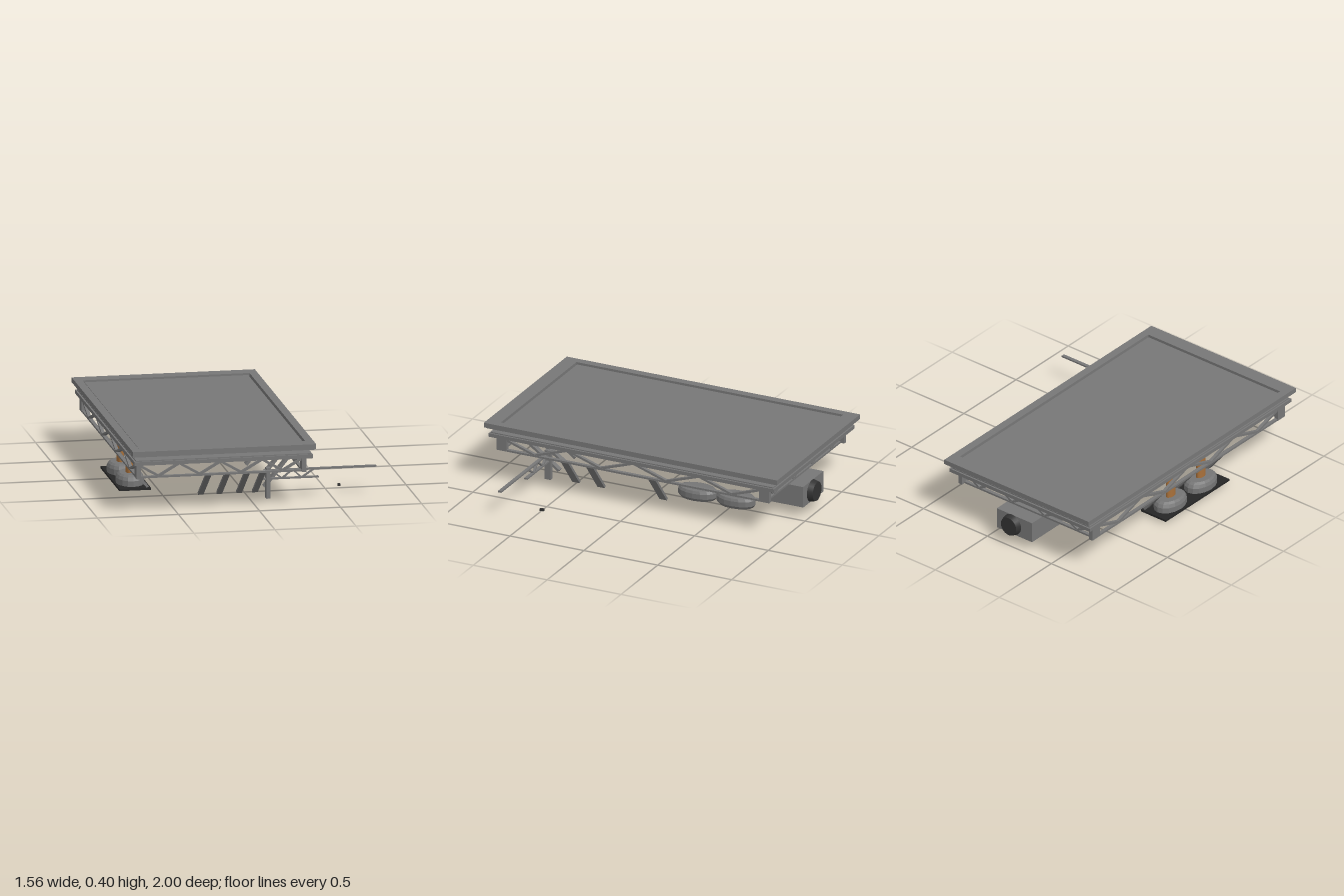
import * as THREE from 'three';

export function createModel() {
  const root = new THREE.Group();
  root.name = 'platform';
  const material = (name, color) => {
    const m = new THREE.MeshStandardMaterial({ color });
    m.name = name;
    return m;
  };
  const grey = material('steel grey', 0x777777);
  const rust = material('orange brown', 0xa8703a);
  const dark = material('dark grey', 0x333333);
  const black = material('base black', 0x262626);
  const tankGrey = material('tank grey', 0x757575);
  tankGrey.flatShading = true;

  const add = (name, geometry, mat, parent = root) => {
    const mesh = new THREE.Mesh(geometry, mat);
    mesh.name = name;
    parent.add(mesh);
    return mesh;
  };
  // Box given by its min and max on each axis
  const box = (name, x0, x1, y0, y1, z0, z1, mat = grey, parent = root) => {
    const mesh = add(name, new THREE.BoxGeometry(x1 - x0, y1 - y0, z1 - z0), mat, parent);
    mesh.position.set((x0 + x1) / 2, (y0 + y1) / 2, (z0 + z1) / 2);
    return mesh;
  };
  // Bar between two points; width is measured horizontally
  const bar = (name, a, b, width, thick, parent = root, mat = grey) => {
    const p = new THREE.Vector3(...a), q = new THREE.Vector3(...b);
    const mesh = add(name, new THREE.BoxGeometry(width, thick, p.distanceTo(q)), mat, parent);
    mesh.position.copy(p).add(q).multiplyScalar(0.5);
    mesh.lookAt(q);
    return mesh;
  };
  const group = (name) => {
    const g = new THREE.Group();
    g.name = name;
    root.add(g);
    return g;
  };

  // Upper deck: raised rim around a recessed floor
  const deck = group('deck');
  const rect = (P, x0, x1, z0, z1) => {
    const s = new P();
    s.moveTo(x0, -z1);
    s.lineTo(x1, -z1);
    s.lineTo(x1, -z0);
    s.lineTo(x0, -z0);
    s.closePath();
    return s;
  };
  const rimShape = rect(THREE.Shape, -0.78, 0.35, -0.985, 1);
  rimShape.holes.push(rect(THREE.Path, -0.73, 0.3, -0.895, 0.91));
  const rim = add('deckRim', new THREE.ExtrudeGeometry(rimShape, { depth: 0.03, bevelEnabled: false }), grey, deck);
  rim.rotation.x = -Math.PI / 2;
  rim.position.y = 0.37;
  box('deckFloor', -0.72, 0.29, 0.372, 0.39, -0.885, 0.9, grey, deck);
  box('deckUnderside', -0.77, 0.34, 0.363, 0.372, -0.975, 0.99, grey, deck);

  // Lower deck with a stepped top
  box('lowerDeck', -0.765, 0.335, 0.307, 0.33, -0.955, 0.975);
  box('lowerDeckStep', -0.755, 0.325, 0.33, 0.337, -0.945, 0.965);

  // Truss ring under the lower deck
  const truss = group('trussRing');
  const X0 = -0.733, X1 = 0.288, Z0 = -0.872, Z1 = 0.905;
  for (const x of [X0, X1]) for (const z of [Z0, Z1])
    box('cornerPost', x - 0.013, x + 0.013, 0.215, 0.307, z - 0.035, z + 0.035, grey, truss);
  const trussSide = (a, b) => {
    const at = (t, y) => [a[0] + (b[0] - a[0]) * t, y, a[1] + (b[1] - a[1]) * t];
    bar('bottomChord', at(0, 0.22), at(1, 0.22), 0.022, 0.012, truss);
    bar('topChord', at(0, 0.301), at(1, 0.301), 0.022, 0.012, truss);
    for (let i = 0; i < 8; i++)
      bar('diagonal', at(i / 8, i % 2 ? 0.224 : 0.298), at((i + 1) / 8, i % 2 ? 0.298 : 0.224), 0.02, 0.014, truss);
  };
  for (const z of [Z0, Z1]) trussSide([X0, z], [X1, z]);
  for (const x of [X0, X1]) trussSide([x, Z0], [x, Z1]);

  // Slanting braces leading inward from three truss sides
  const braces = group('braces');
  for (const z of [0.485, 0.315, -0.105])
    bar('leftBrace', [0.285, 0.22, z], [0.125, 0.025, z], 0.05, 0.016, braces);
  for (const z of [0.405, 0.105, -0.185])
    bar('rightBrace', [-0.725, 0.22, z], [-0.58, 0.04, z], 0.05, 0.016, braces);
  for (const x of [-0.295, -0.18, -0.058, 0.04])
    bar('frontBrace', [x, 0.22, 0.9], [x, 0.037, 0.64], 0.034, 0.016, braces);

  // Faceted oval tanks
  const tank = (name, x, y, z, rx, rz, profile) => {
    const points = profile.map(([r, h]) => new THREE.Vector2(r, h));
    const mesh = add(name, new THREE.LatheGeometry(points, 16), tankGrey);
    mesh.position.set(x, y, z);
    mesh.scale.set(rx, 1, rz);
  };
  const domed = [[0, 0], [1, 0], [1, 0.035], [0.9, 0.055], [0.75, 0.066], [0, 0.066]];
  const rounded = [[0, 0.01], [0.6, 0.01], [0.7, 0], [0.88, 0], [1, 0.018], [1, 0.05], [0.9, 0.066], [0.75, 0.07], [0, 0.07]];

  // Landing base with tanks and two round pillars
  box('basePlate', -0.75, -0.555, 0.015, 0.028, -0.21, 0.4, black);
  for (const z of [0.24, -0.05]) {
    tank('baseTank', -0.655, 0.028, z, 0.085, 0.122, domed);
    const pillar = add('pillar', new THREE.CylinderGeometry(0.022, 0.022, 0.26, 16), rust);
    pillar.scale.z = 1.7;
    pillar.position.set(-0.658, 0.216, z);
  }
  // Hanging tanks, each with a strap beneath
  for (const z of [-0.29, -0.55]) {
    tank('hangingTank', 0.033, 0.036, z, 0.075, 0.128, rounded);
    box('tankStrap', 0.025, 0.041, 0.038, 0.048, z - 0.1, z + 0.1, tankGrey);
  }

  // Machine housing with a round fan at the back and slots beneath
  const machine = group('machine');
  box('housing', -0.32, -0.045, 0.065, 0.2, -0.965, -0.67, grey, machine);
  const fan = add('fan', new THREE.CylinderGeometry(0.06, 0.07, 0.035, 24), dark, machine);
  fan.rotation.x = -Math.PI / 2;
  fan.position.set(-0.165, 0.132, -0.982);
  for (const x of [-0.25, -0.18, -0.11])
    box('slot', x - 0.012, x + 0.012, 0.062, 0.066, -0.9, -0.74, dark, machine);

  // Crane: post, two jib rods, lacing and a hanging hook
  const crane = group('crane');
  box('cranePost', 0.1, 0.125, 0, 0.19, 0.66, 0.7, grey, crane);
  box('upperJib', 0.085, 0.78, 0.167, 0.177, 0.668, 0.69, grey, crane);
  box('lowerJib', 0.085, 0.425, 0.116, 0.125, 0.668, 0.69, grey, crane);
  const lacing = [[0.13, 0.172], [0.2, 0.12], [0.265, 0.172], [0.32, 0.12], [0.4, 0.172]];
  for (let i = 0; i + 1 < lacing.length; i++)
    bar('jibLacing', [...lacing[i], 0.679], [...lacing[i + 1], 0.679], 0.014, 0.009, crane);
  box('craneHook', 0.58, 0.595, 0.01, 0.024, 0.475, 0.5, dark, crane);

  return root;
}
